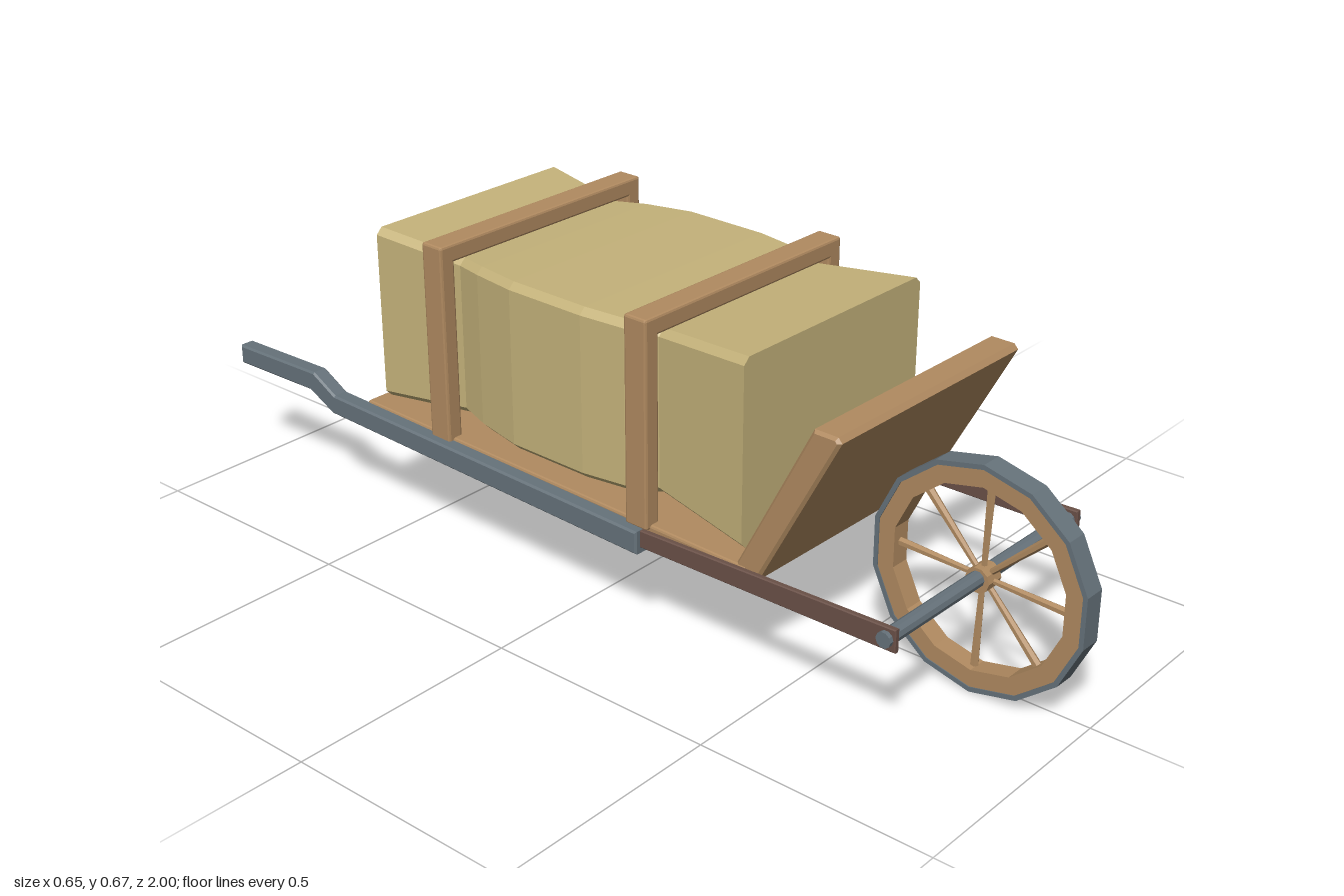
import * as THREE from 'three';
import { RoundedBoxGeometry } from 'three/addons/geometries/RoundedBoxGeometry.js';

const paint = (color) => new THREE.MeshStandardMaterial({ color, flatShading: true });
const wood = paint(0xb08a60);
const darkWood = paint(0x6a5047);
const iron = paint(0x66727a);
const straw = paint(0xc4b27a);

function add(parent, name, geometry, material, x = 0, y = 0, z = 0) {
  const mesh = new THREE.Mesh(geometry, material);
  mesh.name = name;
  mesh.position.set(x, y, z);
  parent.add(mesh);
  return mesh;
}

// Side profile given as [z, y] points, extruded across x and centred on x = 0
function sideExtrude(points, width, bevel = 0.004) {
  const shape = new THREE.Shape(points.map(([z, y]) => new THREE.Vector2(z, y)));
  const geometry = new THREE.ExtrudeGeometry(shape, {
    depth: width - 2 * bevel, bevelEnabled: true, bevelSegments: 1,
    bevelSize: bevel, bevelThickness: bevel, bevelOffset: -bevel,
  });
  return geometry.translate(0, 0, bevel - width / 2).rotateY(-Math.PI / 2);
}

const plank = (w, h, d, r = 0.005) => new RoundedBoxGeometry(w, h, d, 1, r);

// Straw load: chamfered rectangles [z, half width, bottom, top] joined in a row
function loadGeometry(sections, c) {
  const rings = sections.map(([z, w, b, t]) => [
    [w - c, b], [w, b + c], [w, t - c], [w - c, t],
    [c - w, t], [-w, t - c], [-w, b + c], [c - w, b],
  ].map(([x, y]) => [x, y, z]));
  const n = 8;
  const pos = [];
  const tri = (a, b, d) => pos.push(...a, ...b, ...d);
  for (let i = 0; i + 1 < rings.length; i++) {
    for (let j = 0; j < n; j++) {
      const k = (j + 1) % n;
      const [a, b] = [rings[i], rings[i + 1]];
      tri(a[j], b[j], b[k]);
      tri(a[j], b[k], a[k]);
    }
  }
  const front = rings[0];
  const back = rings[rings.length - 1];
  for (let j = 1; j < n - 1; j++) {
    tri(front[0], front[j], front[j + 1]);
    tri(back[0], back[j + 1], back[j]);
  }
  const geometry = new THREE.BufferGeometry();
  geometry.setAttribute('position', new THREE.Float32BufferAttribute(pos, 3));
  geometry.computeVertexNormals();
  return geometry;
}

// Flat-sided ring lying in the y-z plane
function ringGeometry(outer, inner, width, sides) {
  const circle = (r) => Array.from({ length: sides }, (_, i) => {
    const a = ((i + 0.5) / sides) * Math.PI * 2;
    return new THREE.Vector2(Math.cos(a) * r, Math.sin(a) * r);
  });
  const shape = new THREE.Shape(circle(outer));
  shape.holes.push(new THREE.Path(circle(inner)));
  return new THREE.ExtrudeGeometry(shape, { depth: width, bevelEnabled: false })
    .translate(0, 0, -width / 2).rotateY(-Math.PI / 2);
}

function createWheel() {
  const wheel = new THREE.Group();
  wheel.name = 'wheel';
  add(wheel, 'tyre', ringGeometry(0.236, 0.226, 0.046, 14), iron);
  add(wheel, 'rim', ringGeometry(0.227, 0.19, 0.042, 14), wood);
  add(wheel, 'hub', new THREE.CylinderGeometry(0.026, 0.026, 0.04, 10).rotateZ(Math.PI / 2), wood);
  for (let i = 0; i < 8; i++) {
    const spoke = new THREE.CylinderGeometry(0.009, 0.006, 0.18, 6).translate(0, 0.11, 0);
    add(wheel, 'spoke', spoke, wood).rotation.x = (i / 8) * Math.PI * 2 + 0.03;
  }
  return wheel;
}

export function createModel() {
  const model = new THREE.Group();
  model.name = 'wheelbarrow';
  const cart = new THREE.Group();
  cart.name = 'cart';
  cart.rotation.y = -0.0185;
  cart.position.x = -0.005;
  model.add(cart);

  // Wheel and axle
  const wheel = createWheel();
  wheel.position.set(0, 0.237, 0.766);
  cart.add(wheel);
  add(cart, 'axle', new THREE.CylinderGeometry(0.016, 0.016, 0.61, 10).rotateZ(Math.PI / 2),
    iron, 0, 0.241, 0.766);

  // Handles and the thin bars that carry the axle
  const handle = [
    [0.19, 0.194], [0.19, 0.243], [-0.68, 0.256], [-0.745, 0.291], [-0.994, 0.283],
    [-0.994, 0.24], [-0.76, 0.246], [-0.69, 0.212],
  ];
  const bar = [[0.14, 0.205], [0.786, 0.217], [0.786, 0.264], [0.14, 0.241]];
  for (const side of [-1, 1]) {
    add(cart, 'handle', sideExtrude(handle, 0.036), iron, side * 0.29);
    add(cart, 'axleBar', sideExtrude(bar, 0.012, 0.002), darkWood, side * 0.29);
  }

  // Bed and leaning front board
  add(cart, 'bed', plank(0.555, 0.03, 1.04), wood, 0, 0.238, -0.087).rotation.x = 0.012;
  const board = [[0.405, 0.24], [0.46, 0.228], [0.637, 0.562], [0.628, 0.572], [0.577, 0.572]];
  add(cart, 'frontBoard', sideExtrude(board, 0.55, 0.006), wood);

  // Straw load pinched under the two frames
  const sections = [
    [0.395, 0.265, 0.253, 0.641], [0.165, 0.235, 0.279, 0.621], [0.1, 0.262, 0.272, 0.628],
    [0, 0.275, 0.27, 0.63], [-0.19, 0.275, 0.27, 0.63], [-0.3, 0.255, 0.274, 0.626],
    [-0.37, 0.235, 0.279, 0.621], [-0.585, 0.265, 0.262, 0.641],
  ];
  add(cart, 'strawLoad', loadGeometry(sections, 0.014), straw, 0.022);

  // Gate-shaped frames: two posts and a top beam
  for (const z of [0.172, -0.37]) {
    const frame = new THREE.Group();
    frame.name = 'loadFrame';
    frame.position.z = z;
    cart.add(frame);
    for (const side of [-1, 1]) {
      add(frame, 'post', plank(0.036, 0.42, 0.055), wood, side * 0.27, 0.45, 0);
    }
    add(frame, 'topBeam', plank(0.576, 0.038, 0.055), wood, 0, 0.653, 0);
  }
  return model;
}
